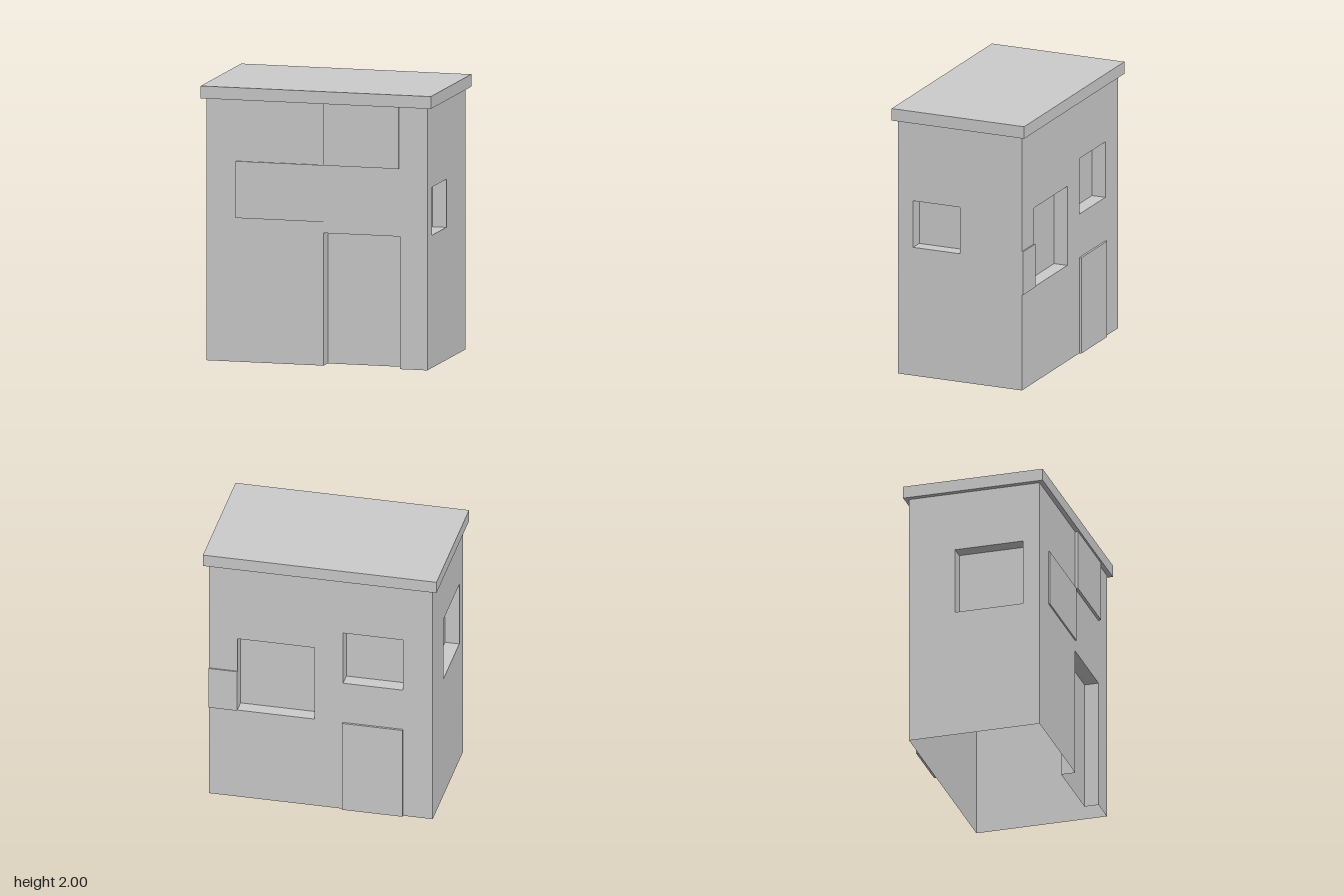
import * as THREE from 'three';
import { mergeGeometries } from 'three/addons/utils/BufferGeometryUtils.js';

const W = 0.825, D = 0.49, H = 1.91;   // half width, half depth, wall height
const NICHE = 0.105;                   // depth of the recesses

export function createModel() {
  const building = new THREE.Group();
  building.name = 'building';
  const solid = new THREE.MeshStandardMaterial({ color: 0xcccccc, flatShading: true });
  const thin = new THREE.MeshStandardMaterial({ color: 0xcccccc, flatShading: true, side: THREE.DoubleSide });

  function add(parent, name, geometry, material) {
    const mesh = new THREE.Mesh(geometry, material);
    mesh.name = name;
    parent.add(mesh);
  }

  // Recess behind an opening: back, two jambs, head and (above ground) a sill
  function nicheGeometry([u0, u1, y0, y1]) {
    const w = u1 - u0, h = y1 - y0, u = (u0 + u1) / 2, y = (y0 + y1) / 2;
    const parts = [
      new THREE.PlaneGeometry(w, h).translate(u, y, -NICHE),
      new THREE.PlaneGeometry(NICHE, h).rotateY(Math.PI / 2).translate(u0, y, -NICHE / 2),
      new THREE.PlaneGeometry(NICHE, h).rotateY(-Math.PI / 2).translate(u1, y, -NICHE / 2),
      new THREE.PlaneGeometry(w, NICHE).rotateX(Math.PI / 2).translate(u, y1, -NICHE / 2),
    ];
    if (y0 > 0) parts.push(new THREE.PlaneGeometry(w, NICHE).rotateX(-Math.PI / 2).translate(u, y0, -NICHE / 2));
    return mergeGeometries(parts);
  }

  // One wall seen face on: u runs to the viewer's right, y up, outer face at local z = 0
  function addWall({ name, half, distance, turn, openings = [], panels = [] }) {
    const group = new THREE.Group();
    group.name = name;
    const outline = [[-half, 0]];
    const holes = [];
    for (const { rect: [u0, u1, y0, y1] } of openings) {
      if (y0 === 0) outline.push([u0, 0], [u0, y1], [u1, y1], [u1, 0]);
      else holes.push([[u0, y0], [u0, y1], [u1, y1], [u1, y0]]);
    }
    outline.push([half, 0], [half, H], [-half, H]);
    const points = (list) => list.map(([u, y]) => new THREE.Vector2(u, y));
    const shape = new THREE.Shape(points(outline));
    shape.holes = holes.map((hole) => new THREE.Path(points(hole)));
    add(group, name + 'Surface', new THREE.ShapeGeometry(shape), thin);

    for (const { part, rect } of openings) add(group, part, nicheGeometry(rect), thin);
    for (const { part, rect: [u0, u1, y0, y1], depth } of panels) {
      const box = new THREE.BoxGeometry(u1 - u0, y1 - y0, depth);
      add(group, part, box.translate((u0 + u1) / 2, (y0 + y1) / 2, depth / 2), solid);
    }
    group.rotation.y = turn;
    group.position.set(Math.sin(turn) * distance, 0, Math.cos(turn) * distance);
    building.add(group);
  }

  addWall({
    name: 'frontWall', half: W, distance: D, turn: 0,
    openings: [{ part: 'frontDoorway', rect: [0.05, 0.62, 0, 0.965] }],
    panels: [
      { part: 'upperFrontPanel', rect: [0.05, 0.615, 1.46, H], depth: 0.021 },
      { part: 'middleFrontPanel', rect: [-0.607, 0.05, 1.047, 1.46], depth: 0.011 },
    ],
  });

  addWall({
    name: 'backWall', half: W, distance: D, turn: Math.PI,
    openings: [
      { part: 'largeBackWindow', rect: [-0.615, -0.045, 0.72, 1.315] },
      { part: 'smallBackWindow', rect: [0.165, 0.607, 1.047, 1.465] },
    ],
    panels: [
      { part: 'backDoor', rect: [0.16, 0.605, 0, 0.72], depth: 0.016 },
      { part: 'backCornerPanel', rect: [-W, -0.615, 0.72, 1.045], depth: 0.01 },
    ],
  });

  addWall({
    name: 'leftWall', half: D, distance: W, turn: Math.PI / 2,
    openings: [{ part: 'leftWindow', rect: [-0.37, 0, 0.965, 1.315] }],
  });

  addWall({
    name: 'rightWall', half: D, distance: W, turn: -Math.PI / 2,
    openings: [{ part: 'rightWindow', rect: [-0.145, 0.365, 0.97, 1.465] }],
  });

  // Overhanging flat roof
  add(building, 'roof', new THREE.BoxGeometry(1.722, 2 - H, 1.048).translate(0, (2 + H) / 2, 0), solid);

  return building;
}
